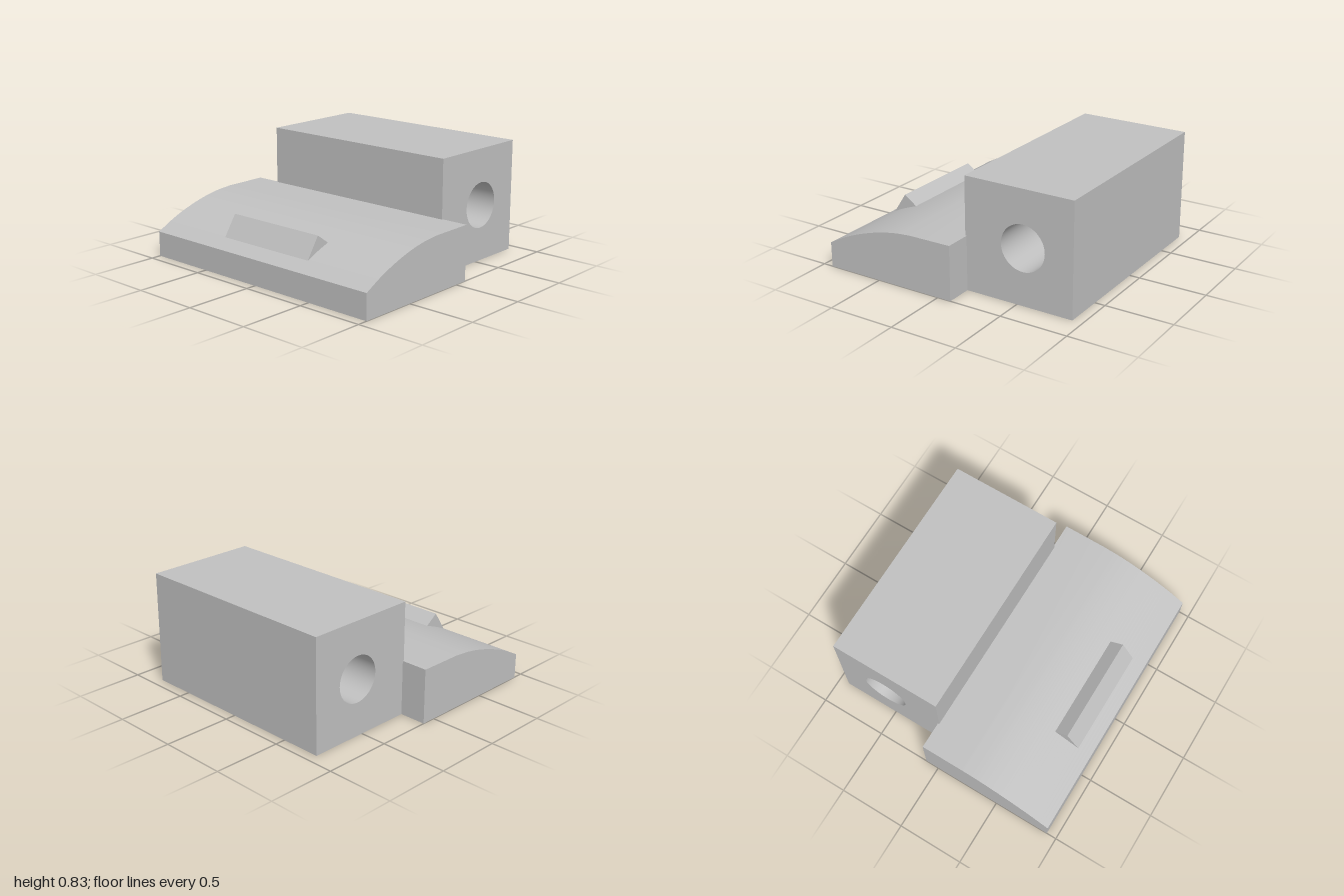
import * as THREE from 'three';
import { toCreasedNormals } from 'three/addons/utils/BufferGeometryUtils.js';

const grey = new THREE.MeshStandardMaterial({ color: 0xc0c0c0 });
grey.name = 'grey';

function part(name, geometry) {
  const mesh = new THREE.Mesh(toCreasedNormals(geometry, 0.6), grey);
  mesh.name = name;
  return mesh;
}

// Extrudes a side profile (u = -z, v = y) across the width, centred on x = 0
function acrossX(shape, width) {
  return new THREE.ExtrudeGeometry(shape, { depth: width, bevelEnabled: false, curveSegments: 48 })
    .rotateY(Math.PI / 2)
    .translate(-width / 2, 0, 0);
}

function rectangle(u0, v0, u1, v1) {
  return new THREE.Shape([[u0, v0], [u1, v0], [u1, v1], [u0, v1]].map(([u, v]) => new THREE.Vector2(u, v)));
}

function addHole(shape, u, v, r) {
  shape.holes.push(new THREE.Path().absarc(u, v, r, 0, Math.PI * 2, true));
}

export function createModel() {
  const model = new THREE.Group();
  model.name = 'model';

  const back = -0.925, front = 0.925, blockFront = -0.093, recess = 0.05;

  // Block with a round bore from side to side
  const blockSide = rectangle(-blockFront, recess, -back, 0.83);
  addHole(blockSide, 0.545, 0.415, 0.168);
  model.add(part('boredBlock', acrossX(blockSide, 1.6)));

  // Bottom layer of the block, with two shallow round recesses
  const sole = rectangle(-0.8, -blockFront, 0.8, -back);
  for (const side of [-1, 1]) addHole(sole, side * 0.175, 0.735, 0.105);
  const soleGeometry = new THREE.ExtrudeGeometry(sole, { depth: recess, bevelEnabled: false, curveSegments: 32 })
    .rotateX(-Math.PI / 2);
  model.add(part('blockSole', soleGeometry));

  // Wide plate whose top curves down to the front
  const plate = new THREE.Shape();
  plate.moveTo(-front, 0);
  plate.lineTo(0.103, 0);
  plate.lineTo(0.103, 0.402);
  plate.lineTo(-0.22, 0.4);
  const curve = new THREE.CatmullRomCurve3([
    [-0.22, 0.4], [-0.35, 0.388], [-0.48, 0.363], [-0.627, 0.32], [-0.78, 0.26], [-front, 0.185],
  ].map(([u, v]) => new THREE.Vector3(u, v, 0)));
  for (const p of curve.getPoints(32).slice(1)) plate.lineTo(p.x, p.y);
  model.add(part('curvedPlate', acrossX(plate, 2)));

  // Triangular ridge on the plate
  const ridge = new THREE.Shape();
  ridge.moveTo(-0.825, 0.235);
  ridge.lineTo(-0.627, 0.2);
  ridge.lineTo(-0.62, 0.315);
  ridge.lineTo(-0.724, 0.39);
  model.add(part('ridge', acrossX(ridge, 0.8)));

  return model;
}
